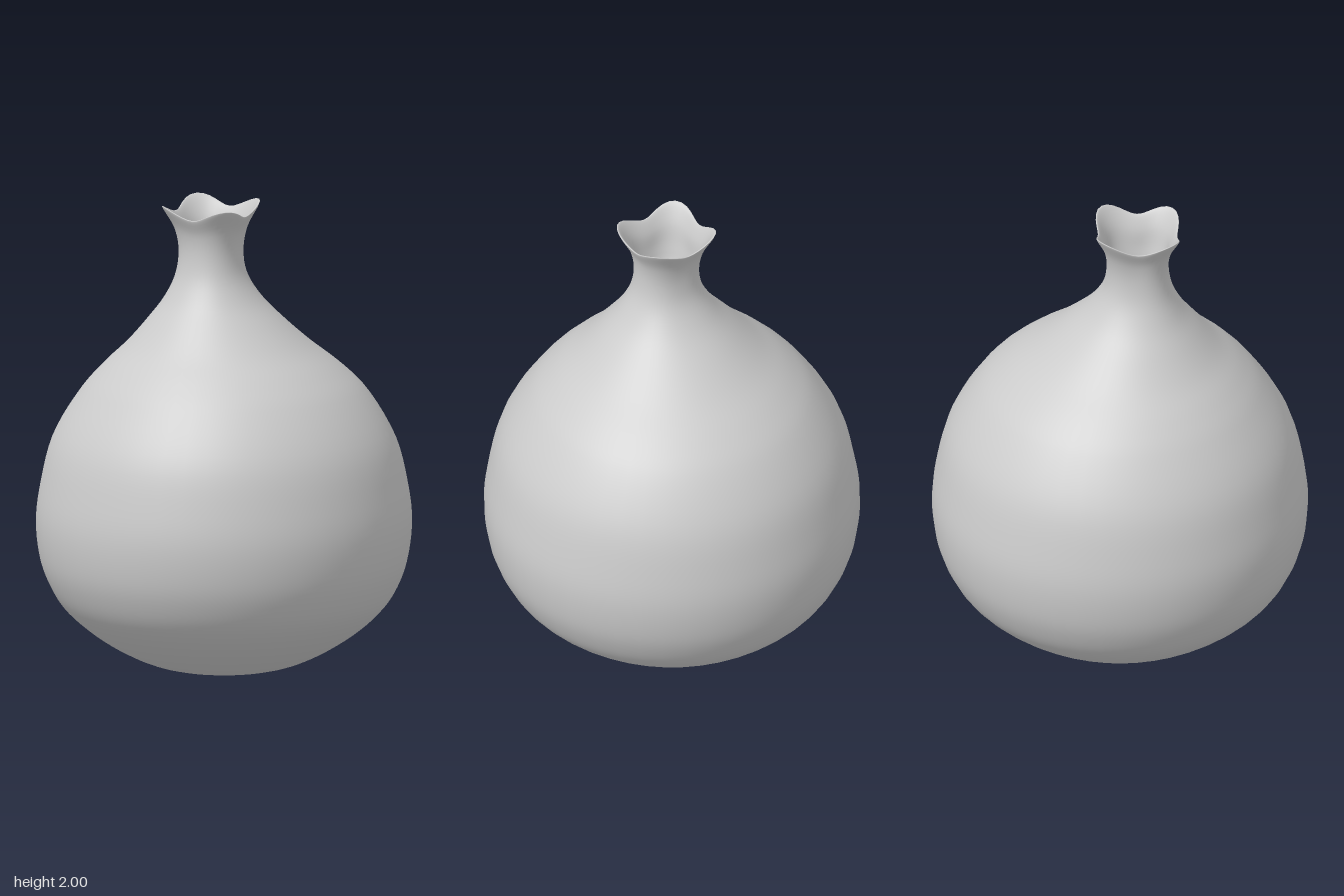
import * as THREE from 'three';

const SIDES = 48;
const ROWS = 110;

// Profile points: tip radius, height, squareness (how far the four corners pull out)
const PROFILE = [
  [0, 0.005, 0], [0.27, 0.04, 0], [0.42, 0.1, 0], [0.575, 0.2, 0], [0.678, 0.3, 0],
  [0.735, 0.4, 0], [0.767, 0.5, 0], [0.782, 0.65, 0], [0.765, 0.8, 0], [0.713, 1.0, 0],
  [0.593, 1.2, 0], [0.5, 1.3, 0], [0.386, 1.4, 0], [0.288, 1.5, 0], [0.203, 1.6, 0.001],
  [0.15, 1.7, 0.002], [0.137, 1.8, 0.004], [0.157, 1.89, 0.01], [0.206, 1.965, 0.021],
  // rolled rim, then the hollow inside of the mouth
  [0.209, 1.973, 0.022], [0.202, 1.972, 0.021], [0.155, 1.9, 0.012], [0.128, 1.8, 0.004],
  [0.1, 1.73, 0], [0, 1.69, 0],
];

// Closed skin made of rings that follow the profile, leaning off-centre toward the neck
function buildSkin() {
  const curve = new THREE.CatmullRomCurve3(
    PROFILE.map(([r, y, q]) => new THREE.Vector3(r, y, q)), false, 'centripetal');
  const positions = [];
  const index = [];
  for (let i = 0; i <= ROWS; i++) {
    const p = curve.getPoint(i / ROWS);
    const lean = THREE.MathUtils.smoothstep(p.y, 1.15, 1.75);
    const rim = THREE.MathUtils.smoothstep(p.y, 1.8, 1.97);
    for (let j = 0; j < SIDES; j++) {
      const a = (j / SIDES) * Math.PI * 2;
      const corner = Math.cos(4 * a);
      const r = Math.max(p.x - p.z + p.z * corner, 0);
      const x = r * Math.cos(a);
      const z = r * Math.sin(a);
      // corners of the mouth rise, and the mouth tilts slightly
      const y = p.y + p.z * corner * 1.05 + rim * 0.03 * (x - z);
      positions.push(x - 0.067 * lean, y, z + 0.036 * lean);
    }
  }
  for (let i = 0; i < ROWS; i++) {
    for (let j = 0; j < SIDES; j++) {
      const k = (j + 1) % SIDES;
      const a = i * SIDES + j, b = i * SIDES + k;
      const c = a + SIDES, d = b + SIDES;
      if (i < ROWS - 1) index.push(a, c, b);
      else index.push(a, c, b);
      if (i > 0 && i < ROWS - 1) index.push(b, c, d);
      else if (i === 0) index.push(b, c, d);
    }
  }
  const geometry = new THREE.BufferGeometry();
  geometry.setAttribute('position', new THREE.Float32BufferAttribute(positions, 3));
  geometry.setIndex(index);
  geometry.computeVertexNormals();
  // the pole rings share one direction each
  const n = geometry.attributes.normal;
  for (let j = 0; j < SIDES; j++) {
    n.setXYZ(j, 0, -1, 0);
    n.setXYZ(ROWS * SIDES + j, 0, 1, 0);
  }
  return geometry;
}

export function createModel() {
  const group = new THREE.Group();
  group.name = 'pouch';
  const material = new THREE.MeshStandardMaterial({ color: 0xcccccc, side: THREE.DoubleSide });
  const skin = new THREE.Mesh(buildSkin(), material);
  skin.name = 'pouchSkin';
  group.add(skin);
  return group;
}
